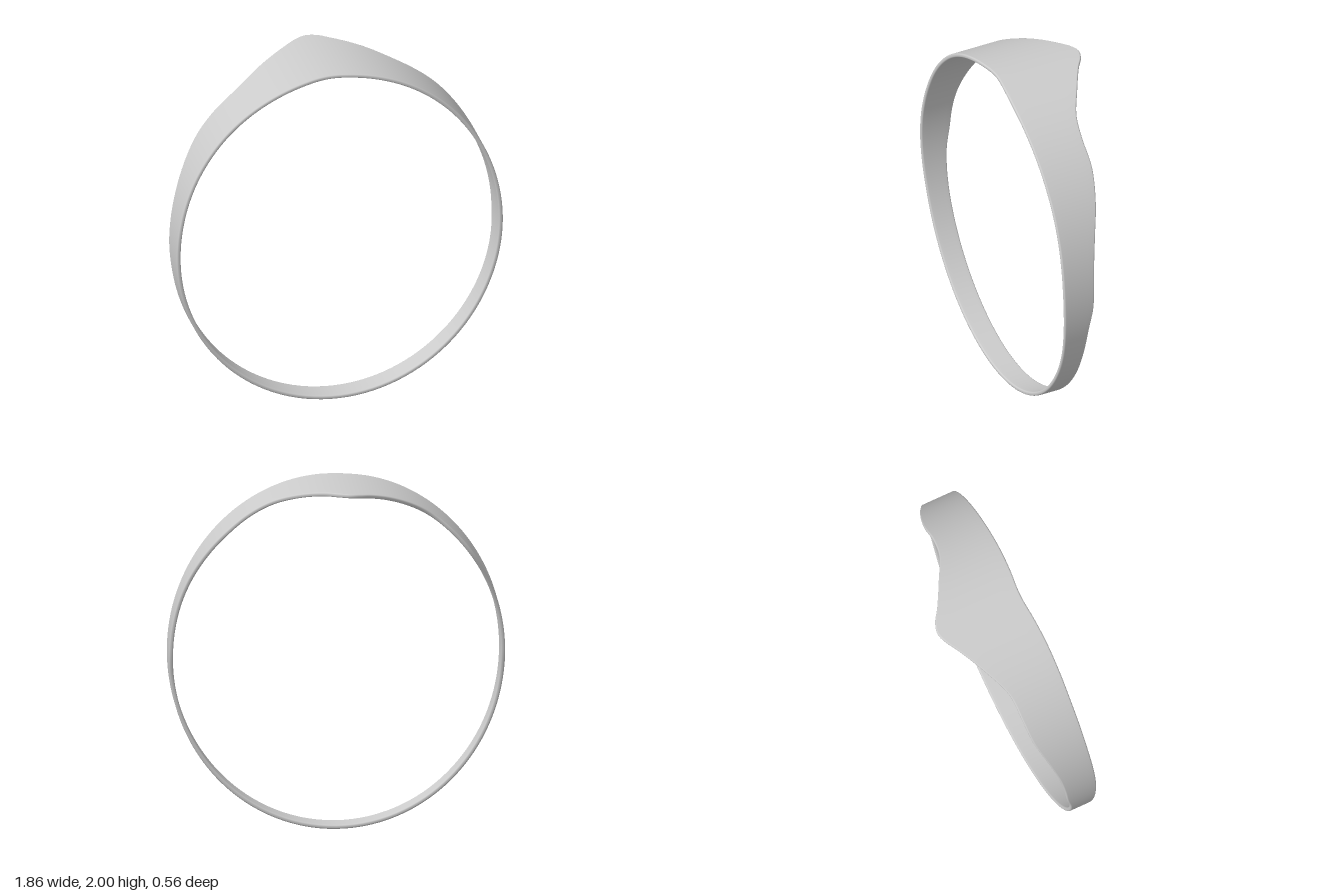
import * as THREE from 'three';

const RX = 0.93, RY = 1, WALL = 0.023, ROUND = 0.009;

// [degrees from the top towards +x, z of back edge, z of front edge]
const EDGES = [
  [-180, 0.137, 0.264], [-150, 0.137, 0.264], [-125, 0.137, 0.265], [-110, 0.134, 0.267],
  [-98, 0.122, 0.273], [-90, 0.1, 0.276], [-82, 0.088, 0.276], [-74, 0.07, 0.272],
  [-65, 0.035, 0.266], [-53, -0.018, 0.261], [-44, -0.035, 0.258], [-33, -0.053, 0.257],
  [-21.4, -0.135, 0.253], [-12, -0.215, 0.243], [-7, -0.262, 0.235], [-3.4, -0.279, 0.232],
  [0.5, -0.262, 0.235], [5, -0.215, 0.243], [14.3, -0.135, 0.253], [24.1, -0.06, 0.257],
  [32.5, -0.038, 0.258], [42.6, -0.035, 0.259], [54, 0, 0.261], [65, 0.048, 0.266],
  [74, 0.077, 0.272], [82, 0.09, 0.276], [90, 0.1, 0.276], [98, 0.122, 0.273],
  [110, 0.134, 0.267], [125, 0.137, 0.265], [150, 0.137, 0.264], [180, 0.137, 0.264],
];

// Rounded strip cross-section: [z, depth below the outer face]
function section(back, front) {
  const pts = [];
  const corner = (z, d, start) => {
    for (let k = 0; k <= 4; k++) {
      const a = start + (k / 4) * Math.PI / 2;
      pts.push([z + ROUND * Math.cos(a), d - ROUND * Math.sin(a)]);
    }
  };
  const face = (z0, z1, d) => {
    for (let k = 1; k < 6; k++) pts.push([z0 + (z1 - z0) * k / 6, d]);
  };
  const b = back + ROUND, f = front - ROUND, low = WALL - ROUND;
  // walks back -> front on the outside, then front -> back on the inside
  const turn = (z, d, start) => {
    const from = pts.length;
    corner(z, d, start);
    pts.push(...pts.splice(from).reverse());
  };
  turn(b, ROUND, Math.PI / 2);
  face(b, f, 0);
  turn(f, ROUND, 0);
  turn(f, low, -Math.PI / 2);
  face(f, b, WALL);
  turn(b, low, Math.PI);
  return pts;
}

// Sweeps the varying section round an upright ellipse
function bandGeometry(steps) {
  const curve = new THREE.CatmullRomCurve3(
    EDGES.map(([deg, b, f]) => new THREE.Vector3(THREE.MathUtils.degToRad(deg), b, f)));
  const pos = [], index = [];
  let n = 0;
  for (let i = 0; i < steps; i++) {
    const p = curve.getPoint(i / steps);
    const s = Math.sin(p.x), c = Math.cos(p.x);
    const normal = new THREE.Vector2(s / RX, c / RY).normalize();
    const loop = section(p.y, p.z);
    n = loop.length;
    for (const [z, d] of loop) pos.push(RX * s - normal.x * d, 1 + RY * c - normal.y * d, z);
  }
  for (let i = 0; i < steps; i++) {
    for (let j = 0; j < n; j++) {
      const i2 = (i + 1) % steps, j2 = (j + 1) % n;
      const a = i * n + j, b = i * n + j2, c = i2 * n + j, d = i2 * n + j2;
      index.push(a, b, c, b, d, c);
    }
  }
  const geo = new THREE.BufferGeometry();
  geo.setAttribute('position', new THREE.Float32BufferAttribute(pos, 3));
  geo.setIndex(index);
  geo.computeVertexNormals();
  return geo;
}

export function createModel() {
  const group = new THREE.Group();
  group.name = 'peakedRing';
  const band = new THREE.Mesh(bandGeometry(310),
    new THREE.MeshStandardMaterial({ color: 0xcccccc }));
  band.name = 'band';
  group.add(band);
  return group;
}
